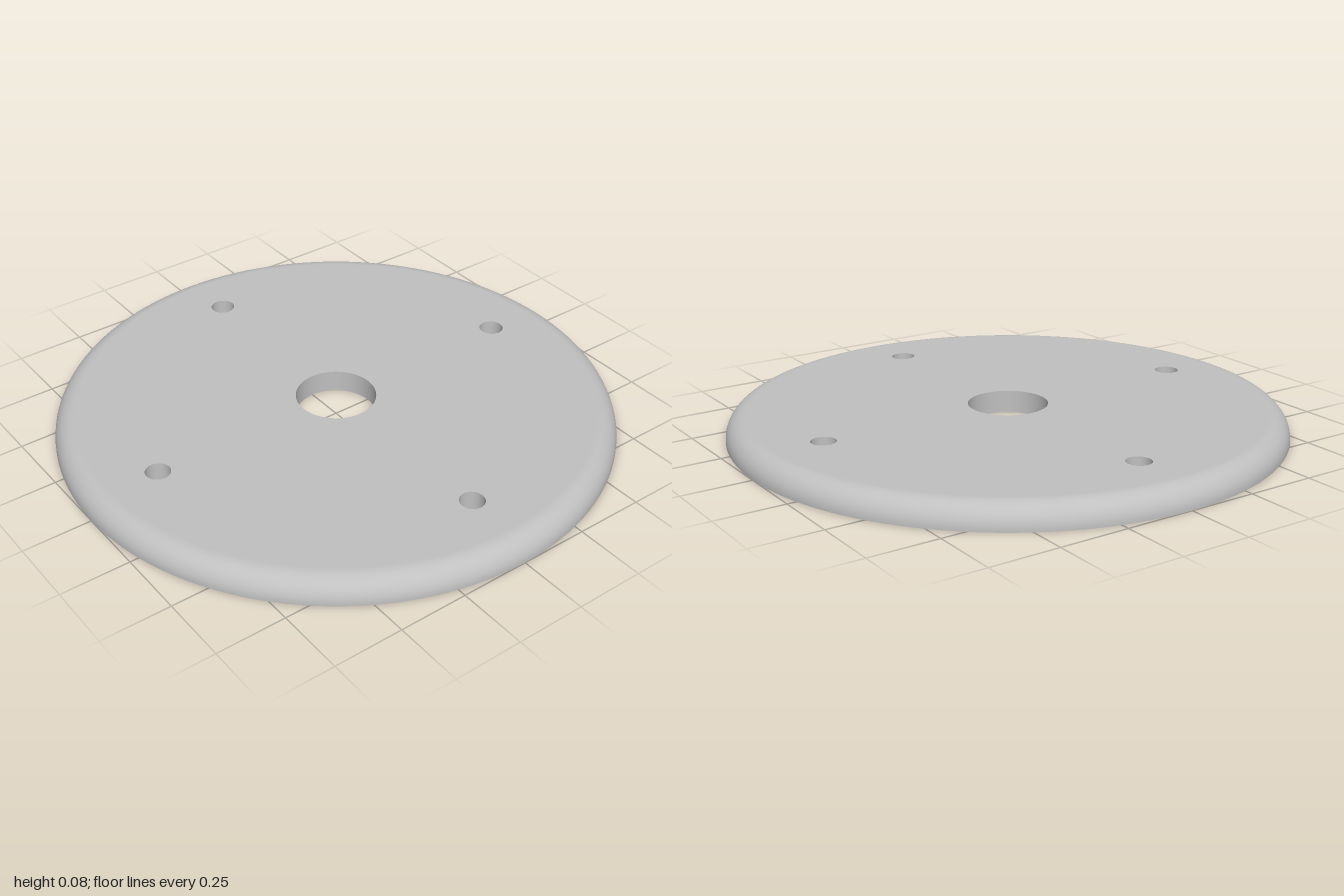
import * as THREE from 'three';

const SEG = 128;
const HEIGHT = 0.083;
const FILLET = 0.078;          // rounded upper edge
const BORE = 0.144;            // central hole
const GROOVE_IN = 0.416, GROOVE_OUT = 0.585, GROOVE_DEPTH = 0.036;
const BOLT = 0.044, BOLT_RING = 0.74;
const boltCentres = [0, 1, 2, 3].map((i) => {
  const a = (i * Math.PI) / 2;
  return [BOLT_RING * Math.cos(a), BOLT_RING * Math.sin(a)];
});

export function createModel() {
  const group = new THREE.Group();
  const metal = new THREE.MeshStandardMaterial({ color: 0xc0c0c0 });
  metal.name = 'grey metal';

  const add = (name, geometry, x = 0, z = 0) => {
    const mesh = new THREE.Mesh(geometry, metal);
    mesh.name = name;
    mesh.position.set(x, 0, z);
    group.add(mesh);
  };

  // Flat ring at height y, optionally pierced by the bolt holes
  const face = (name, outer, inner, y, up, bolts = false) => {
    const shape = new THREE.Shape().absarc(0, 0, outer, 0, Math.PI * 2);
    const hole = (x, z, r) => shape.holes.push(new THREE.Path().absarc(x, z, r, 0, Math.PI * 2, true));
    hole(0, 0, inner);
    if (bolts) boltCentres.forEach(([x, z]) => hole(x, z, BOLT));
    const g = new THREE.ShapeGeometry(shape, SEG);
    g.rotateX(up ? -Math.PI / 2 : Math.PI / 2);
    g.translate(0, y, 0);
    add(name, g);
  };

  // Round wall: rising profiles face outward, falling ones inward
  const wall = (name, profile, x, z) =>
    add(name, new THREE.LatheGeometry(profile.map(([r, y]) => new THREE.Vector2(r, y)), SEG), x, z);

  // Outer rim with its rounded shoulder
  const rim = [[1, 0]];
  for (let i = 0; i <= 16; i++) {
    const a = (i / 16) * (Math.PI / 2);
    rim.push([1 - FILLET + FILLET * Math.cos(a), HEIGHT - FILLET + FILLET * Math.sin(a)]);
  }
  wall('roundedRim', rim);

  // Top and underside faces
  face('topFace', 1 - FILLET, BORE, HEIGHT, true, true);
  face('undersideOuterFace', 1, GROOVE_OUT, 0, false, true);
  face('undersideHubFace', GROOVE_IN, BORE, 0, false);

  // Ring groove in the underside
  face('grooveFloor', GROOVE_OUT, GROOVE_IN, GROOVE_DEPTH, false);
  wall('grooveOuterWall', [[GROOVE_OUT, GROOVE_DEPTH], [GROOVE_OUT, 0]]);
  wall('grooveInnerWall', [[GROOVE_IN, 0], [GROOVE_IN, GROOVE_DEPTH]]);

  // Central bore and bolt holes
  wall('centralBore', [[BORE, HEIGHT], [BORE, 0]]);
  boltCentres.forEach(([x, z]) => wall('boltHole', [[BOLT, HEIGHT], [BOLT, 0]], x, z));

  return group;
}
